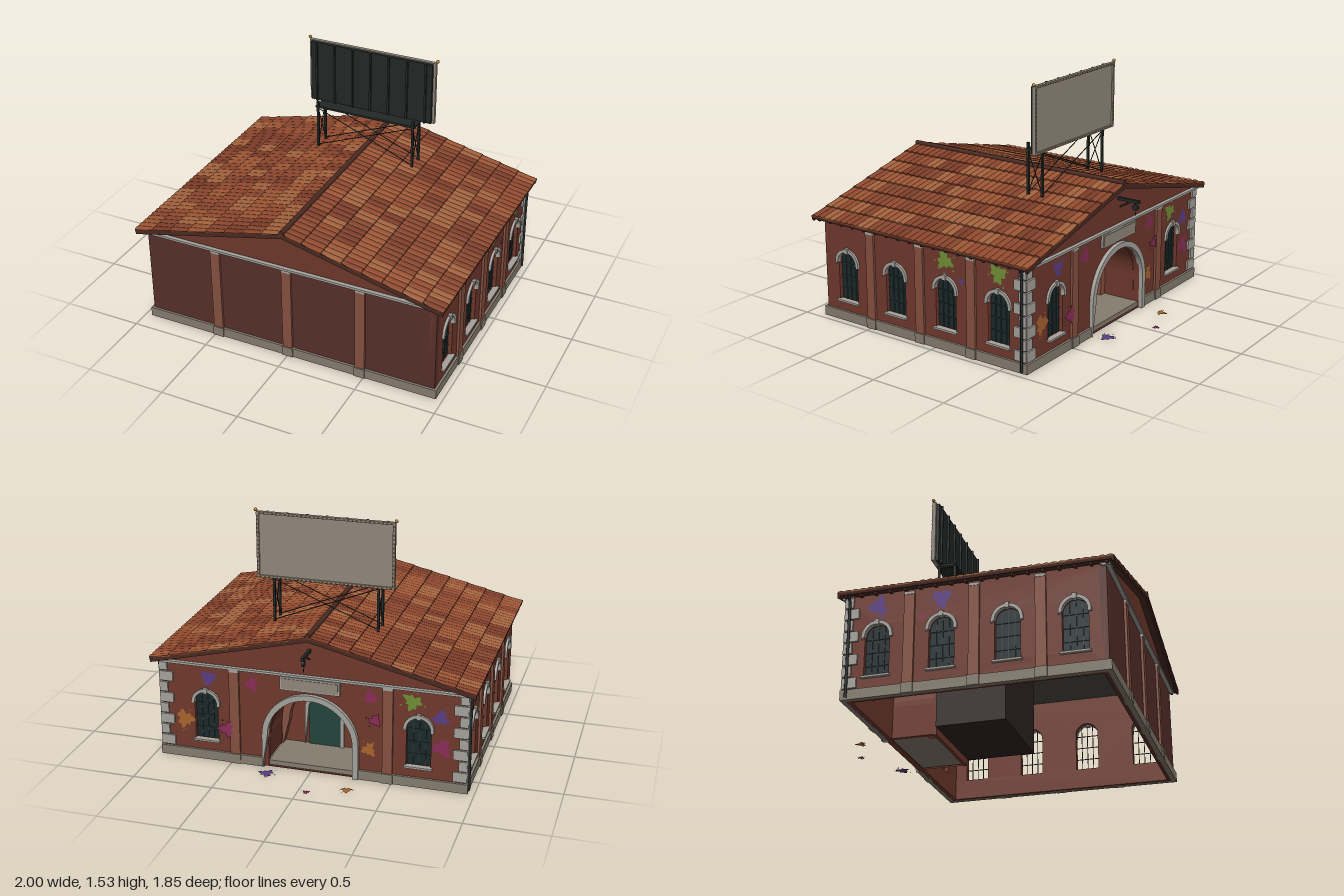
import * as THREE from 'three';
import { mergeGeometries } from 'three/addons/utils/BufferGeometryUtils.js';

const mat = (color, side = THREE.FrontSide) => {
  const m = new THREE.MeshStandardMaterial({ color });
  m.side = side;
  return m;
};
const M = {
  brick: mat(0x6f382c), panel: mat(0x58302a), pilaster: mat(0x85503f), stone: mat(0x857c6e), trim: mat(0xa5a29c),
  metal: mat(0x222826), glass: mat(0x1b292b), bar: mat(0x2a3c38), tan: mat(0x90877a), gold: mat(0xa87a30),
  dark: mat(0x302422), door: mat(0x24443a), wood: mat(0x4a2a22), ceiling: mat(0x4c4a44),
  green: mat(0x6f8f35, THREE.DoubleSide), purple: mat(0x5a3d85, THREE.DoubleSide),
  pink: mat(0x8a2c58, THREE.DoubleSide), orange: mat(0xa8642c, THREE.DoubleSide),
};
const TILES = [0x84432b, 0x90492d, 0x7a3b27, 0x9a5433, 0x8a452c, 0xa0603c].map((c) => mat(c));

let seed = 7;
const rnd = () => (seed = (seed * 16807) % 2147483647) / 2147483647;

function add(parent, name, geo, material, x = 0, y = 0, z = 0) {
  const m = new THREE.Mesh(geo, material);
  m.name = name;
  m.position.set(x, y, z);
  parent.add(m);
  return m;
}
const box = (p, name, material, w, h, d, x, y, z) => add(p, name, new THREE.BoxGeometry(w, h, d), material, x, y, z);
const extrude = (shape, depth) => new THREE.ExtrudeGeometry(shape, { depth, bevelEnabled: false, curveSegments: 14 });

// Straight rod between two points
function rod(p, name, a, b, r = 0.004) {
  const A = new THREE.Vector3(...a), d = new THREE.Vector3(...b).sub(A);
  const m = add(p, name, new THREE.CylinderGeometry(r, r, d.length(), 8), M.metal);
  m.position.copy(A).addScaledVector(d, 0.5);
  m.quaternion.setFromUnitVectors(new THREE.Vector3(0, 1, 0), d.normalize());
  return m;
}

// Round-topped opening and round-topped band
function archPath(path, x, r, y0, s) {
  path.moveTo(x - r, y0);
  path.lineTo(x - r, s);
  path.absarc(x, s, r, Math.PI, 0, true);
  path.lineTo(x + r, y0);
  path.closePath();
  return path;
}
function archBand(rIn, rOut, y0, s) {
  const b = new THREE.Shape();
  b.moveTo(-rOut, y0);
  b.lineTo(-rOut, s);
  b.absarc(0, s, rOut, Math.PI, 0, true);
  b.lineTo(rOut, y0);
  b.lineTo(rIn, y0);
  b.lineTo(rIn, s);
  b.absarc(0, s, rIn, 0, Math.PI, false);
  b.closePath();
  return b;
}

// Irregular paint blot with droplets, lying in the xy plane
function splat(p, material, x, y, z, r) {
  const n = 36, pts = [], a = rnd() * 6, b = rnd() * 6;
  for (let i = 0; i < n; i++) {
    const t = (i / n) * Math.PI * 2;
    const k = r * (0.78 + 0.2 * Math.sin(3 * t + a) + 0.16 * Math.sin(7 * t + b) + 0.1 * rnd());
    pts.push(new THREE.Vector2(Math.cos(t) * k, Math.sin(t) * k));
  }
  const parts = [new THREE.ShapeGeometry(new THREE.Shape(pts))];
  for (let i = 0; i < 6; i++) {
    const t = rnd() * 6.28, d = r * (1.1 + 0.3 * rnd());
    parts.push(new THREE.CircleGeometry(r * (0.05 + 0.07 * rnd()), 8).translate(Math.cos(t) * d, Math.sin(t) * d, 0));
  }
  return add(p, 'paintSplat', mergeGeometries(parts), material, x, y, z);
}

// Arched window with surround, keystone, sill and glazing bars
const WR = 0.074, WS = 0.372, WB = 0.13;
function windowUnit(p, x) {
  const g = new THREE.Group();
  g.name = 'archedWindow';
  g.position.x = x;
  p.add(g);
  add(g, 'glass', new THREE.ShapeGeometry(archPath(new THREE.Shape(), 0, WR, WB, WS), 14), M.glass, 0, 0, -0.025);
  add(g, 'surround', extrude(archBand(WR - 0.002, WR + 0.018, WS - 0.015, WS), 0.025), M.trim, 0, 0, -0.01);
  box(g, 'keystone', M.trim, 0.024, 0.034, 0.03, 0, WS + WR + 0.008, 0.005);
  box(g, 'sill', M.trim, 0.17, 0.012, 0.035, 0, WB - 0.004, 0.003);
  for (const s of [-0.037, 0, 0.037]) box(g, 'glazingBar', M.bar, 0.004, 0.3, 0.006, s, 0.28, -0.022);
  for (const y of [0.2, 0.28, 0.36]) box(g, 'glazingBar', M.bar, 0.148, 0.004, 0.006, 0, y, -0.022);
}

// One wall built flat, outward along its own +z, then turned into place
function wall(p, name, width, { material = M.brick, windows = [], pilasters = [], door = false, quoins = [] }) {
  const g = new THREE.Group();
  g.name = name;
  p.add(g);
  const h = width / 2, shape = new THREE.Shape();
  shape.moveTo(-h, 0.002).lineTo(h, 0.002).lineTo(h, 0.635).lineTo(-h, 0.635).closePath();
  for (const x of windows) shape.holes.push(archPath(new THREE.Path(), x, WR, WB, WS));
  if (door) shape.holes.push(archPath(new THREE.Path(), 0, 0.265, 0.006, 0.21));
  add(g, 'wallPanel', extrude(shape, 0.04), material, 0, 0, -0.04);
  windows.forEach((x) => windowUnit(g, x));
  for (const x of pilasters) {
    box(g, 'pilaster', M.pilaster, 0.062, 0.55, 0.03, x, 0.33, 0);
    box(g, 'pilasterCap', M.trim, 0.062, 0.018, 0.036, x, 0.608, 0);
    box(g, 'pilasterBase', M.stone, 0.07, 0.062, 0.044, x, 0.031, 0);
  }
  if (door) for (const s of [-1, 1]) box(g, 'plinth', M.stone, h - 0.285, 0.06, 0.03, s * (h + 0.3) / 2, 0.03, 0);
  else box(g, 'plinth', M.stone, width + 0.03, 0.06, 0.03, 0, 0.03, 0);
  for (const s of quoins) for (let i = 0; i < 8; i++) {
    const w = i % 2 ? 0.05 : 0.085;
    box(g, 'quoin', M.trim, w, 0.062, 0.025, s * (h + 0.008 - w / 2), 0.1 + i * 0.0705, 0);
  }
  return g;
}

// Tiled roof, one half turned round for the other
function buildRoof(root) {
  const roof = new THREE.Group();
  roof.name = 'roof';
  roof.position.set(0, 0.885, 0.115);
  root.add(roof);
  const tilt = Math.atan(0.24), len = 1 / Math.cos(tilt), depth = 1.61, courses = 8, cols = 36, pitch = depth / cols;
  const tileShape = new THREE.Shape();
  tileShape.moveTo(-pitch / 2, 0).lineTo(pitch / 2, 0).lineTo(pitch / 2, 0.006);
  tileShape.quadraticCurveTo(0, 0.018, -pitch / 2, 0.006);
  const run = len / courses;
  const tile = new THREE.ExtrudeGeometry(tileShape, { depth: run * 1.08, bevelEnabled: false, curveSegments: 4 })
    .rotateY(Math.PI / 2).translate(-run * 1.08, 0, 0).rotateZ(0.06);
  for (const turn of [0, Math.PI]) {
    const half = new THREE.Group(), slope = new THREE.Group();
    half.name = 'roofHalf';
    slope.name = 'slope';
    half.rotation.y = turn;
    slope.rotation.z = -tilt;
    roof.add(half.add(slope));
    box(slope, 'roofDeck', M.wood, len, 0.016, depth, len / 2, -0.008, 0);
    for (const s of [-1, 1]) box(slope, 'rakeBoard', M.wood, len, 0.03, 0.015, len / 2, -0.013, s * (depth / 2 - 0.008));
    const bins = TILES.map(() => []);
    for (let c = 0; c < courses; c++) for (let i = 0; i < cols; i += 2) {
      const bin = bins[Math.floor(rnd() * bins.length)];
      for (let k = 0; k < 2; k++) bin.push(tile.clone().translate(run * (c + 1), 0.0, -depth / 2 + pitch * (i + k + 0.5)));
    }
    bins.forEach((b, i) => b.length && add(slope, 'roofTiles', mergeGeometries(b), TILES[i]));
    box(half, 'gutter', M.metal, 0.022, 0.016, depth, 0.982, -0.242, 0);
    for (let i = 0; i < 18; i++) box(slope, 'rafterTail', M.wood, 0.07, 0.02, 0.016, len - 0.045, -0.022, -0.76 + i * 0.0894);
  }
  add(roof, 'ridgeCap', new THREE.CylinderGeometry(0.016, 0.016, depth, 10).rotateX(Math.PI / 2), M.wood, 0, 0.006, 0);
}

// Billboard with its lattice stand, facing the entrance side
function buildBillboard(root) {
  const g = new THREE.Group();
  g.name = 'billboard';
  root.add(g);
  box(g, 'backPanel', M.metal, 0.82, 0.4, 0.02, 0, 1.302, -0.306);
  box(g, 'signFace', M.tan, 0.82, 0.38, 0.012, 0, 1.302, -0.322);
  for (let i = -3; i <= 3; i++) box(g, 'backRib', M.metal, 0.012, 0.4, 0.014, i * 0.123, 1.302, -0.292);
  for (const s of [-1, 1]) {
    box(g, 'frameSide', M.tan, 0.016, 0.41, 0.024, s * 0.418, 1.303, -0.326);
    box(g, 'frameRail', M.tan, 0.85, 0.014, 0.024, 0, 1.303 + s * 0.198, -0.326);
    add(g, 'cornerBall', new THREE.SphereGeometry(0.011, 12, 8), M.gold, s * 0.43, 1.517, -0.329);
    for (let i = 0; i < 32; i++) add(g, 'frameBulb', new THREE.SphereGeometry(0.004, 6, 4), M.gold, -0.403 + i * 0.026, 1.303 + s * 0.198, -0.339);
    for (let i = 0; i < 15; i++) add(g, 'frameBulb', new THREE.SphereGeometry(0.004, 6, 4), M.gold, s * 0.418, 1.12 + i * 0.026, -0.339);
    // Legs and cross braces
    box(g, 'leg', M.metal, 0.014, 0.32, 0.014, s * 0.325, 0.98, -0.215);
    box(g, 'leg', M.metal, 0.014, 0.32, 0.014, s * 0.325, 0.98, -0.318);
    box(g, 'platformBeam', M.metal, 0.018, 0.014, 0.12, s * 0.325, 1.095, -0.268);
    for (const t of [-1, 1]) {
      rod(g, 'sideBrace', [s * 0.325, 0.83, -0.2665 + t * 0.0515], [s * 0.325, 1.09, -0.2665 - t * 0.0515], 0.003);
    }
    for (const z of [-0.215, -0.318]) rod(g, 'crossBrace', [s * 0.325, 0.83, z], [-s * 0.325, 1.09, z], 0.003);
  }
  box(g, 'catwalk', M.metal, 0.68, 0.012, 0.12, 0, 1.1, -0.27);
}

// Vaulted porch behind the entrance arch, with door and nameplate (local to the back wall)
function buildEntrance(back) {
  const g = new THREE.Group();
  g.name = 'entrance';
  back.add(g);
  add(g, 'archSurround', extrude(archBand(0.265, 0.3, 0, 0.21), 0.035), M.trim, 0, 0, -0.01);
  add(g, 'porchVault', extrude(archBand(0.262, 0.29, 0.01, 0.21), 0.26), M.brick, 0, 0, -0.3);
  add(g, 'innerArch', extrude(archBand(0.215, 0.264, 0.01, 0.21), 0.05), M.pilaster, 0, 0, -0.3);
  box(g, 'porchBackWall', M.brick, 0.58, 0.5, 0.02, 0, 0.255, -0.31);
  add(g, 'doorFrame', extrude(archBand(0.1, 0.125, 0.04, 0.28), 0.02), M.trim, 0, 0, -0.3);
  add(g, 'door', extrude(archPath(new THREE.Shape(), 0, 0.1, 0.04, 0.28), 0.01), M.door, 0, 0, -0.3);
  box(g, 'porchFloor', M.stone, 0.53, 0.03, 0.3, 0, 0.026, -0.155);
  box(g, 'innerLobby', M.dark, 0.62, 0.58, 0.43, 0, 0.34, -0.535);
  box(g, 'nameplateFrame', M.trim, 0.37, 0.085, 0.014, 0, 0.567, 0.008);
  box(g, 'nameplate', M.tan, 0.35, 0.065, 0.02, 0, 0.567, 0.009);
}

export function createModel() {
  const root = new THREE.Group();
  root.name = 'building';

  // Four walls
  const front = wall(root, 'frontWall', 1.89, { material: M.panel, pilasters: [-0.475, 0, 0.475] });
  front.position.z = 0.865;
  const back = wall(root, 'backWall', 1.89, { windows: [-0.66, 0.66], pilasters: [-0.475, 0.475], door: true, quoins: [-1, 1] });
  back.position.z = -0.645;
  back.rotation.y = Math.PI;
  const sides = [1, -1].map((s) => {
    const w = wall(root, s > 0 ? 'leftWall' : 'rightWall', 1.51, {
      windows: [-0.575, -0.195, 0.185, 0.565].map((u) => u * s), pilasters: [-0.385, -0.005, 0.375].map((u) => u * s), quoins: [s] });
    w.position.set(s * 0.945, 0, 0.11);
    w.rotation.y = s * Math.PI / 2;
    // Downpipe with an elbow to the gutter
    const path = new THREE.CatmullRomCurve3([[0, 0.01, 0.016], [0, 0.55, 0.016], [0, 0.6, 0.02], [0, 0.645, 0.038]].map((v) => new THREE.Vector3(...v)));
    add(w, 'downpipe', new THREE.TubeGeometry(path, 24, 0.009, 8), M.metal, s * 0.735, 0, 0);
    return w;
  });
  buildEntrance(back);

  // Gables and cornices
  const gable = new THREE.Shape();
  gable.moveTo(-0.95, 0.63).lineTo(0.95, 0.63).lineTo(0.95, 0.645).lineTo(0, 0.873).lineTo(-0.95, 0.645).closePath();
  for (const w of [front, back]) {
    add(w, 'gable', extrude(gable, 0.04), M.brick, 0, 0, -0.04);
    box(w, 'cornice', M.trim, 1.92, 0.014, 0.05, 0, 0.624, 0.0);
  }
  box(root, 'ceiling', M.ceiling, 1.86, 0.01, 1.47, 0, 0.63, 0.11);

  buildRoof(root);
  buildBillboard(root);

  // Lamp bracket over the entrance
  const lamp = new THREE.Group();
  lamp.name = 'lampBracket';
  root.add(lamp);
  box(lamp, 'arm', M.metal, 0.018, 0.018, 0.16, 0, 0.79, -0.715);
  rod(lamp, 'brace', [0, 0.74, -0.66], [0, 0.785, -0.735], 0.006);
  add(lamp, 'pulley', new THREE.CylinderGeometry(0.02, 0.02, 0.014, 16).rotateZ(Math.PI / 2), M.metal, 0, 0.755, -0.765);
  rod(lamp, 'hook', [0, 0.7, -0.765], [0, 0.725, -0.765], 0.003);

  // Paint on the walls and ground
  const backPaint = [
    ['orange', 0.8, 0.25, 0.06], ['purple', 0.64, 0.54, 0.05], ['pink', 0.365, 0.53, 0.045], ['pink', 0.53, 0.22, 0.05],
    ['pink', -0.37, 0.54, 0.045], ['pink', -0.4, 0.4, 0.04], ['orange', -0.36, 0.2, 0.045], ['green', -0.62, 0.54, 0.055],
    ['purple', -0.79, 0.46, 0.05], ['pink', -0.8, 0.27, 0.06]];
  for (const [c, x, y, r] of backPaint) splat(back, M[c], -x, y, Math.abs(Math.abs(x) - 0.475) < 0.08 ? 0.017 : 0.004, r);
  sides.forEach((w, i) => {
    const s = i ? -1 : 1;
    for (const u of [0.185, 0.565]) splat(w, i ? M.purple : M.green, s * u, 0.555, 0.004, 0.06);
    splat(w, i ? M.pink : M.purple, s * 0.3, 0.45, 0.004, 0.02);
  });
  for (const [c, x, z, r] of [['orange', -0.27, -0.81, 0.032], ['pink', -0.05, -0.9, 0.022], ['purple', 0.25, -0.74, 0.045]]) {
    splat(root, M[c], x, 0.002, z, r).rotation.x = -Math.PI / 2;
  }
  return root;
}
